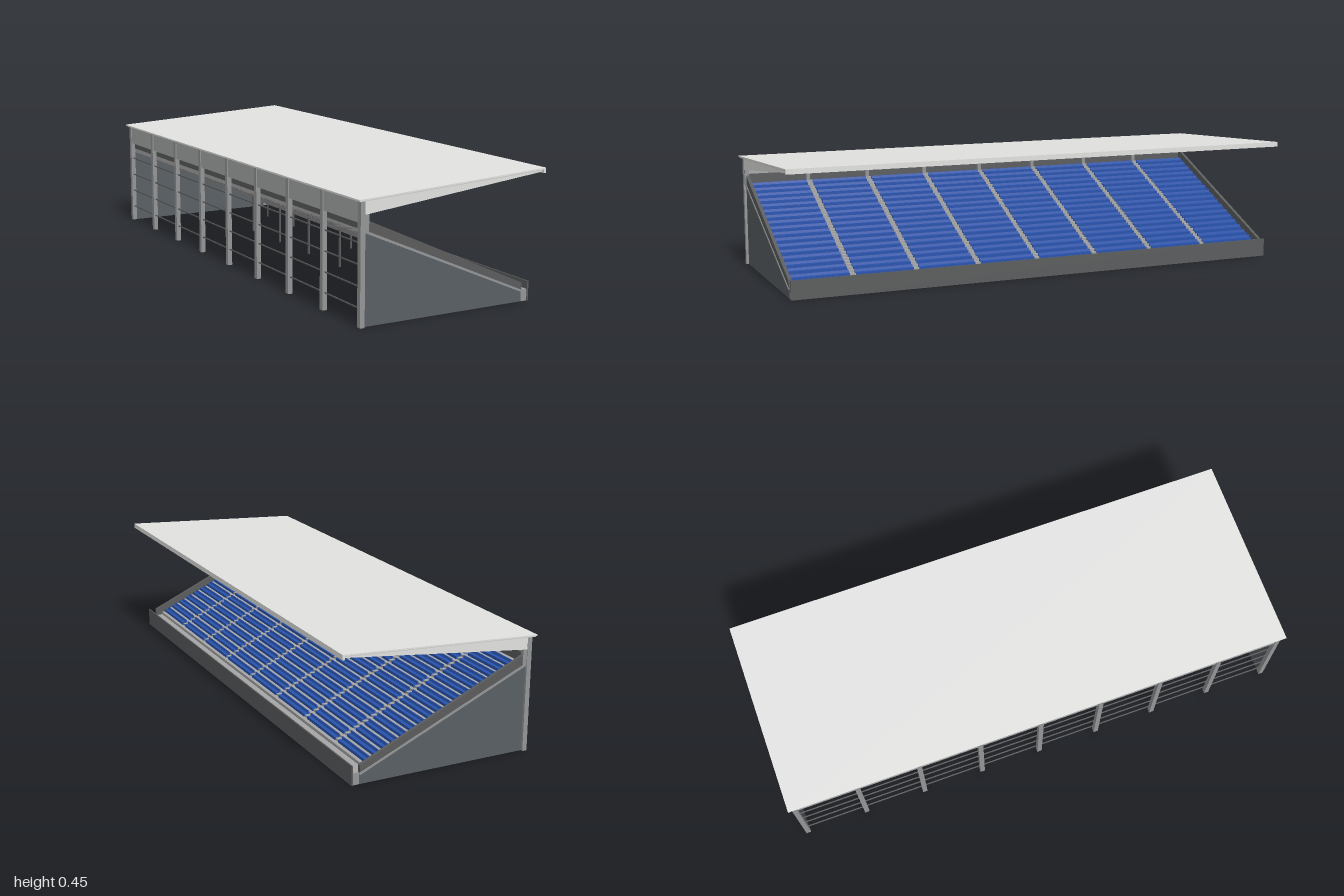
import * as THREE from 'three';

const mat = (name, color) => {
  const m = new THREE.MeshStandardMaterial({ color });
  m.name = name;
  return m;
};

export function createModel() {
  const roofLight = mat('light roof metal', 0xe2e2e1);
  const roofUnder = mat('roof lining', 0xcacac8);
  const steel = mat('grey steel', 0x949596);
  const panel = mat('pale rear panel', 0xa8aaab);
  const cladding = mat('blue grey cladding', 0x585f63);
  const concrete = mat('dark concrete', 0x5b5c5d);
  const tread = mat('step concrete', 0xa5a6a5);
  const seatBlue = mat('seat blue', 0x2853ae);

  const model = new THREE.Group();
  model.name = 'grandstand';
  const stand = new THREE.Group();
  stand.name = 'stand';
  stand.rotation.y = -0.123;
  model.add(stand);

  // Box given by its limits; x is depth (front is +x), z runs along the stand
  const box = (name, m, x0, x1, y0, y1, z0, z1) => {
    const b = new THREE.Mesh(new THREE.BoxGeometry(x1 - x0, y1 - y0, z1 - z0), m);
    b.position.set((x0 + x1) / 2, (y0 + y1) / 2, (z0 + z1) / 2);
    b.name = name;
    stand.add(b);
  };
  // Side profile in x, y stretched from z0 to z1
  const prism = (name, m, points, z0, z1) => {
    const shape = new THREE.Shape(points.map(([x, y]) => new THREE.Vector2(x, y)));
    const g = new THREE.ExtrudeGeometry(shape, { depth: z1 - z0, bevelEnabled: false });
    const p = new THREE.Mesh(g, m);
    p.position.z = z0;
    p.name = name;
    stand.add(p);
  };

  const END = 0.945, BAY = 0.235, ROWS = 17, RUN = 0.0335, RISE = 0.0153;
  const rowX = i => 0.2605 - RUN * i;
  const rowY = i => 0.051 + RISE * i;
  const underY = x => 0.143 - 0.457 * x;

  // Stepped terrace with a sloping underside
  const steps = [[0.312, underY(0.312)], [0.312, 0.04], [rowX(0), 0.04], [rowX(0), rowY(0)]];
  for (let i = 0; i < ROWS; i++) {
    steps.push([rowX(i + 1), rowY(i)], [rowX(i + 1), rowY(i + 1)]);
  }
  steps.push([-0.333, rowY(ROWS)], [-0.333, underY(-0.333)]);
  prism('terrace', tread, steps, -0.934, 0.934);

  // Rows of seats in eight bays between the aisles
  for (let i = 0; i < ROWS; i++) {
    const x = rowX(i + 1), y = rowY(i);
    const profile = [[x + 0.001, y], [x + 0.02, y], [x + 0.02, y + 0.01],
      [x + 0.006, y + 0.01], [x + 0.004, y + 0.019], [x + 0.001, y + 0.019]];
    for (let k = -4; k < 4; k++) {
      prism('seatRow', seatBlue, profile,
        k * BAY + (k === -4 ? 0.008 : 0.011), (k + 1) * BAY - (k === 3 ? 0.008 : 0.011));
    }
    // Half steps in the aisles
    for (let k = -3; k <= 3; k++) {
      box('aisleStep', tread, x, x + RUN / 2, y, y + RISE / 2, k * BAY - 0.011, k * BAY + 0.011);
    }
  }

  // Front wall and rear wall of the terrace
  box('frontWall', concrete, 0.312, 0.317, 0, 0.068, -END, END);
  box('rearWall', concrete, -0.333, -0.327, 0.295, 0.346, -0.934, 0.934);

  // End walls with parapet and trim
  for (const s of [-1, 1]) {
    const slab = (name, m, points, a, b) =>
      prism(name, m, points, Math.min(s * a, s * b), Math.max(s * a, s * b));
    slab('endWall', cladding, [[-0.333, 0], [0.288, 0], [0.288, 0.04], [-0.333, 0.315]], 0.934, 0.942);
    slab('parapet', concrete, [[-0.333, 0.31], [0.288, 0.036], [0.288, 0.066], [-0.333, 0.348]], 0.933, END);
    slab('parapetTrim', steel, [[-0.333, 0.304], [0.288, 0.033], [0.288, 0.041], [-0.333, 0.313]], 0.941, 0.947);
    slab('endWallNose', steel, [[0.288, 0], [0.312, 0], [0.312, 0.04], [0.288, 0.04]], 0.934, 0.942);
  }

  // Rear posts, roof beams and inner columns
  for (let k = -4; k <= 4; k++) {
    const z = k * 0.2355;
    box('rearPost', steel, -0.35, -0.333, 0, 0.407, z - 0.009, z + 0.009);
    box('upperPost', steel, -0.333, -0.318, 0.307, 0.37, z - 0.007, z + 0.007);
    prism('roofBeam', roofLight,
      [[-0.345, 0.345], [-0.333, 0.345], [-0.333, 0.362], [0.354, 0.438], [0.354, 0.446], [-0.345, 0.407]],
      z - 0.008, z + 0.008);
    if (Math.abs(k) < 4) {
      for (const x of [0, 0.19]) {
        box('innerColumn', concrete, x - 0.003, x + 0.003, 0, underY(x) + 0.005, z - 0.003, z + 0.003);
      }
    }
  }

  // Rear cladding band and open rails
  box('rearBand', panel, -0.346, -0.338, 0.335, 0.407, -0.938, 0.938);
  for (const y of [0.06, 0.13, 0.2, 0.27]) {
    box('rearRail', concrete, -0.343, -0.339, y - 0.002, y + 0.002, -0.938, 0.938);
  }

  // Roof sheet, lining and front fascia
  prism('roofSheet', roofLight, [[-0.362, 0.408], [0.362, 0.448], [0.362, 0.453], [-0.362, 0.413]], -0.962, 0.962);
  prism('roofLining', roofUnder, [[-0.357, 0.405], [0.353, 0.444], [0.353, 0.4475], [-0.357, 0.4085]], -0.958, 0.958);
  box('roofFascia', roofLight, 0.354, 0.362, 0.435, 0.449, -0.962, 0.962);

  return model;
}
